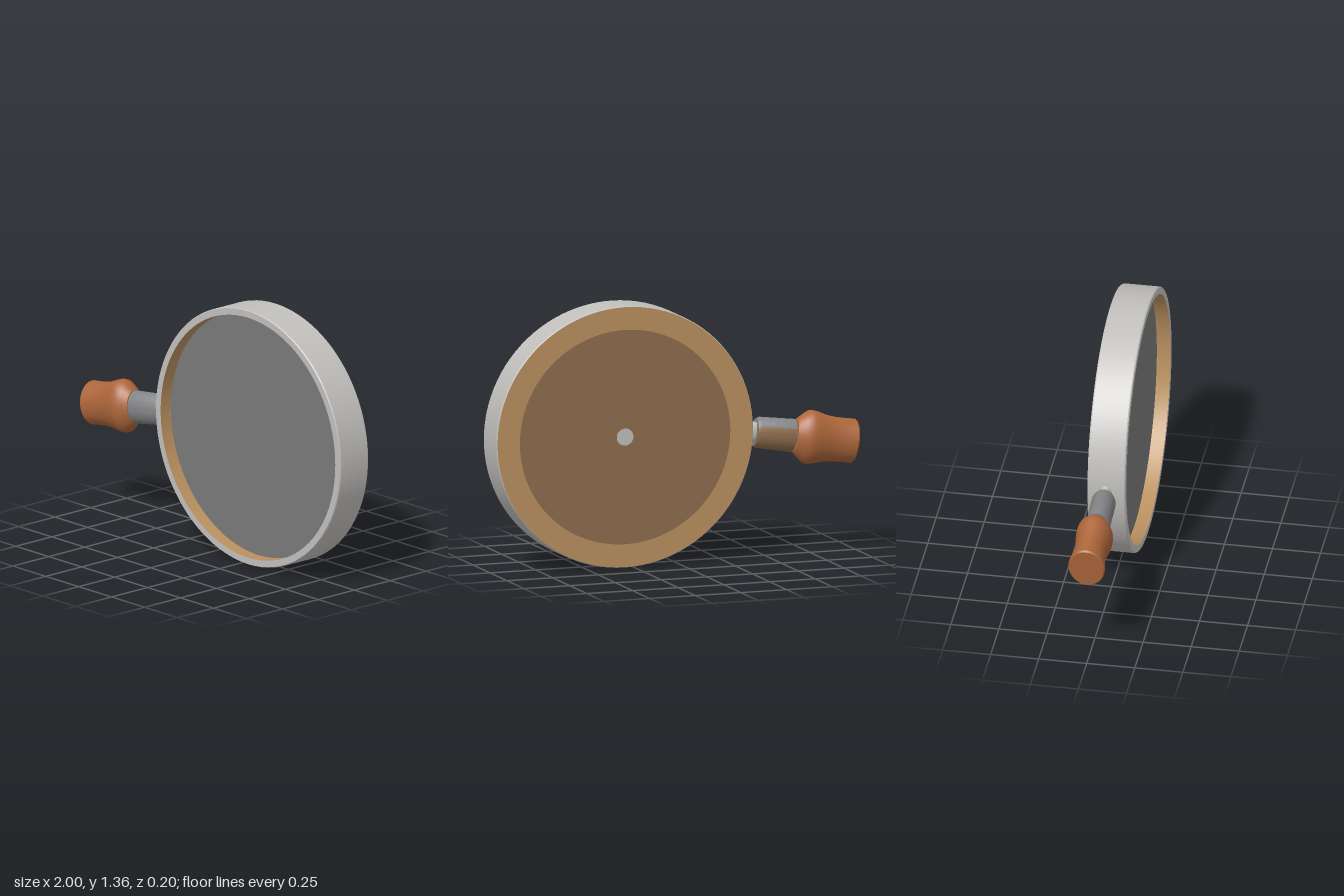
import * as THREE from 'three';
import { toCreasedNormals } from 'three/addons/utils/BufferGeometryUtils.js';

const material = (name, color, side = THREE.FrontSide) =>
  Object.assign(new THREE.MeshStandardMaterial({ color, side }), { name });

// Turned solid along +y; each station is [distance, radius, depth radius]
function turned(stations, phiStart = 0, phiLength = Math.PI * 2, segments = 48) {
  const points = stations.map(([s, r]) => new THREE.Vector2(r, s));
  const geometry = new THREE.LatheGeometry(points, segments, phiStart, phiLength);
  const pos = geometry.attributes.position;
  for (let i = 0; i < pos.count; i++) {
    const [, r, rz] = stations[i % stations.length];
    if (r > 0) pos.setZ(i, pos.getZ(i) * rz / r);
  }
  geometry.computeVertexNormals();
  return toCreasedNormals(geometry, 0.6);
}

export function createModel() {
  const silver = material('silver', 0xc2c0bd);
  const darkGrey = material('dark grey', 0x797979);
  const steel = material('steel grey', 0x838487);
  const tan = material('tan', 0xba9160);
  const brown = material('brown', 0x8e6e4e);
  const wood = material('reddish wood', 0xad663b);

  const model = new THREE.Group();
  const add = (parent, name, geometry, mat) => {
    const mesh = new THREE.Mesh(geometry, mat);
    mesh.name = name;
    parent.add(mesh);
    return mesh;
  };

  // Round head, built at unit radius and stretched to a slight oval
  const head = new THREE.Group();
  head.name = 'head';
  head.position.set(0.298, 0.68, 0);
  head.scale.set(0.702, 0.68, 1);
  model.add(head);

  const wall = (name, pairs, mat) => {
    const points = pairs.map(([r, z]) => new THREE.Vector2(r, z));
    const geometry = toCreasedNormals(new THREE.LatheGeometry(points, 96), 0.6);
    return add(head, name, geometry.rotateX(Math.PI / 2), mat);
  };
  wall('rim', [[0.994, -0.1], [1, -0.094], [1, 0.09], [0.994, 0.096], [0.944, 0.096]], silver);
  wall('innerWall', [[0.944, 0.096], [0.944, 0.025]], tan);

  // Recessed front face
  add(head, 'frontFace', new THREE.CircleGeometry(0.944, 96), darkGrey).position.z = 0.025;

  // Back face: border, panel and centre cap
  const back = (name, inner, outer, mat) => {
    const geometry = inner > 0
      ? new THREE.RingGeometry(inner, outer, 96)
      : new THREE.CircleGeometry(outer, 96);
    add(head, name, geometry.rotateY(Math.PI), mat).position.z = -0.1;
  };
  back('backBorder', 0.82, 0.994, tan);
  back('backPanel', 0.065, 0.82, brown);
  back('centreCap', 0, 0.065, silver);

  // Handle, slightly tilted, running from the grip end towards the head
  const handle = new THREE.Group();
  handle.name = 'handle';
  handle.position.set(-0.987, 0.566, -0.004);
  handle.rotation.z = -Math.PI / 2 + 0.145;
  model.add(handle);

  add(handle, 'grip', turned([
    [0, 0, 0], [0, 0.108, 0.09], [0.008, 0.115, 0.095], [0.05, 0.114, 0.088],
    [0.11, 0.115, 0.081], [0.16, 0.121, 0.084], [0.21, 0.134, 0.092],
    [0.24, 0.14, 0.095], [0.262, 0.138, 0.094], [0.285, 0.122, 0.084],
    [0.315, 0.097, 0.066], [0.325, 0.085, 0.058], [0.325, 0, 0],
  ]), wood);

  // Ferrule: grey with a brown strip round the lower back
  const ferrule = [
    [0.335, 0, 0], [0.335, 0.086, 0.062], [0.53, 0.081, 0.062],
    [0.546, 0.073, 0.055], [0.546, 0, 0],
  ];
  const stripStart = 1.7, stripLength = 1.94;
  add(handle, 'ferrule',
    turned(ferrule, stripStart + stripLength, Math.PI * 2 - stripLength), steel);
  add(handle, 'ferruleBackStrip', turned(ferrule, stripStart, stripLength, 24), brown);
  add(handle, 'gripPin', new THREE.CylinderGeometry(0.045, 0.045, 0.04, 24), steel).position.y = 0.33;

  // Short neck joining ferrule and rim
  add(handle, 'neck', turned([
    [0.53, 0.053, 0.032], [0.63, 0.053, 0.032],
  ]), silver);

  return model;
}
